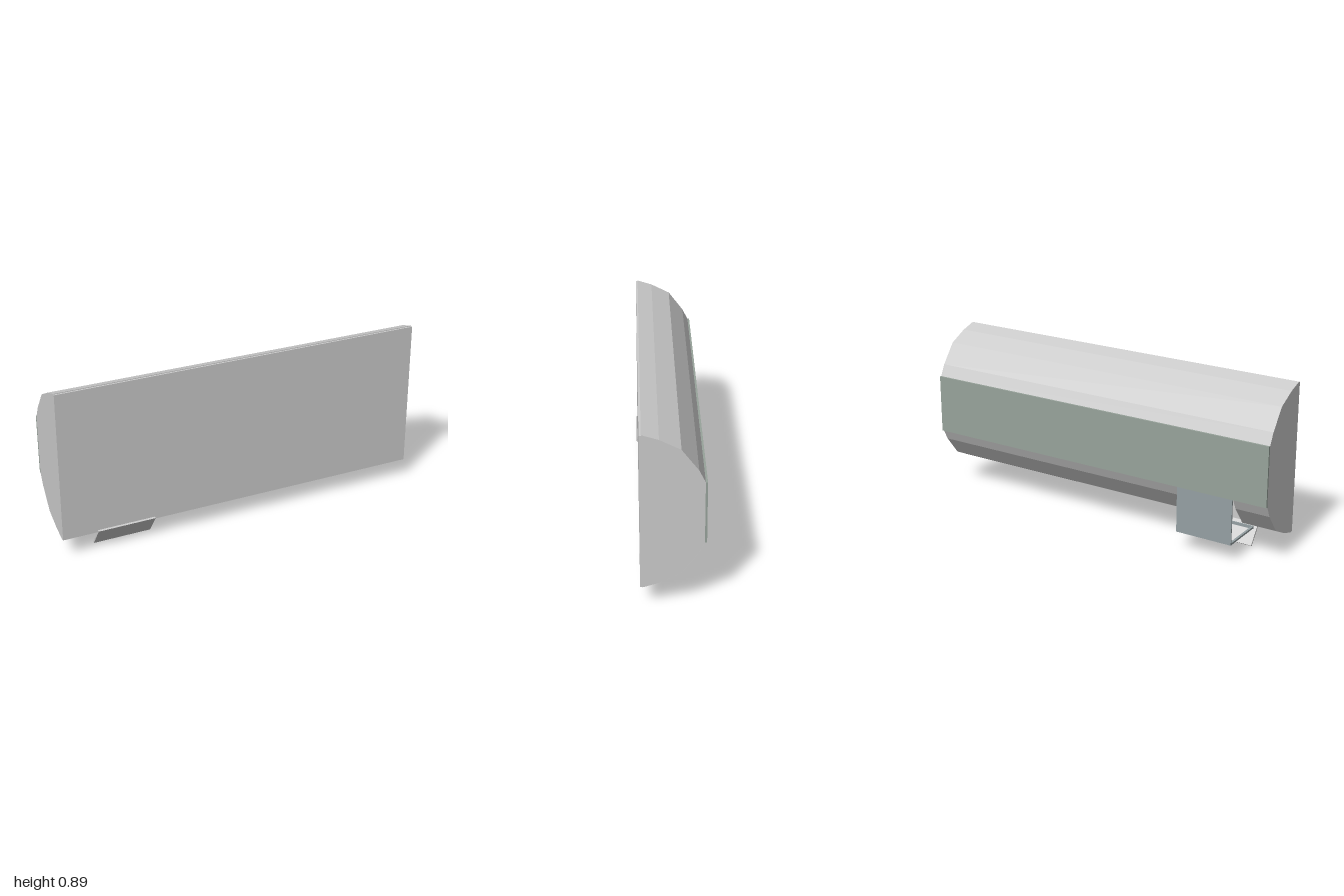
import * as THREE from 'three';

const grey = new THREE.MeshStandardMaterial({ color: 0xcccccc, flatShading: true, side: THREE.DoubleSide });
const green = new THREE.MeshStandardMaterial({ color: 0x98a39b });
const blue = new THREE.MeshStandardMaterial({ color: 0x95a0a3 });

// Upper half of the cross-section as [z, y]; the lower half mirrors it about MID
const MID = 0.4975;
const upper = [[0.14, 0.895], [0.06, 0.87], [-0.04, 0.82], [-0.12, 0.715], [-0.15, 0.655]];
const mirrorY = (pts) => pts.map(([z, y]) => [z, 2 * MID - y]);

// Chute opening along x
const X0 = -0.815, X1 = -0.505;

export function createModel() {
  const group = new THREE.Group();

  const add = (name, geometry, material) => {
    const mesh = new THREE.Mesh(geometry, material);
    mesh.name = name;
    group.add(mesh);
    return mesh;
  };

  // Box given by its limits on each axis
  const box = (name, [xa, xb], [ya, yb], [za, zb], material) => {
    const mesh = add(name, new THREE.BoxGeometry(xb - xa, yb - ya, zb - za), material);
    mesh.position.set((xa + xb) / 2, (ya + yb) / 2, (za + zb) / 2);
    return mesh;
  };

  // Cross-section in (z, y) extruded along x
  const extrudeX = (name, pts, xa, xb) => {
    const shape = new THREE.Shape(pts.map(([z, y]) => new THREE.Vector2(-z, y)));
    const geometry = new THREE.ExtrudeGeometry(shape, { depth: xb - xa, bevelEnabled: false });
    geometry.rotateY(Math.PI / 2).translate(xa, 0, 0);
    return add(name, geometry, grey);
  };

  // Thin faceted skin: outer line plus the same line drawn slightly inwards
  const inner = upper.map(([z, y]) => [z * 0.98 + 0.0025, MID + (y - MID) * 0.987]);
  const skin = [...upper, ...inner.reverse()];
  extrudeX('upperShell', skin, -1, 1);
  extrudeX('lowerShellLeft', mirrorY(skin), X1, 1);
  extrudeX('lowerShellRight', mirrorY(skin), -1, X0);

  // End caps
  const section = [...upper, ...mirrorY(upper).reverse()];
  extrudeX('leftEndCap', section, 0.994, 1);
  extrudeX('rightEndCap', section, -1, -0.994);

  // Flat front and back panels
  box('frontPanel', [-1, 1], [0.102, 0.892], [0.14, 0.15], grey);
  box('backPanel', [-1, 1], [0.34, 0.655], [-0.16, -0.15], green);

  // Chute: hanging back plate with an open frame at its foot
  box('chuteBackPlate', [X0, X1], [0.095, 0.34], [-0.157, -0.15], blue);
  for (const [side, x] of [['right', X0], ['left', X1 - 0.012]]) {
    box(side + 'ChuteRail', [x, x + 0.012], [0.095, 0.105], [-0.15, 0.085], blue);
  }
  box('chuteFrontRail', [X0, X1], [0.093, 0.108], [0.083, 0.09], blue);

  // Sloping flap under the front edge
  const flap = add('flap', new THREE.BoxGeometry(X1 - X0, 0.136, 0.009), grey);
  flap.position.set((X0 + X1) / 2, 0.0575, 0.115);
  flap.rotation.x = Math.atan2(0.08, 0.107);

  return group;
}
